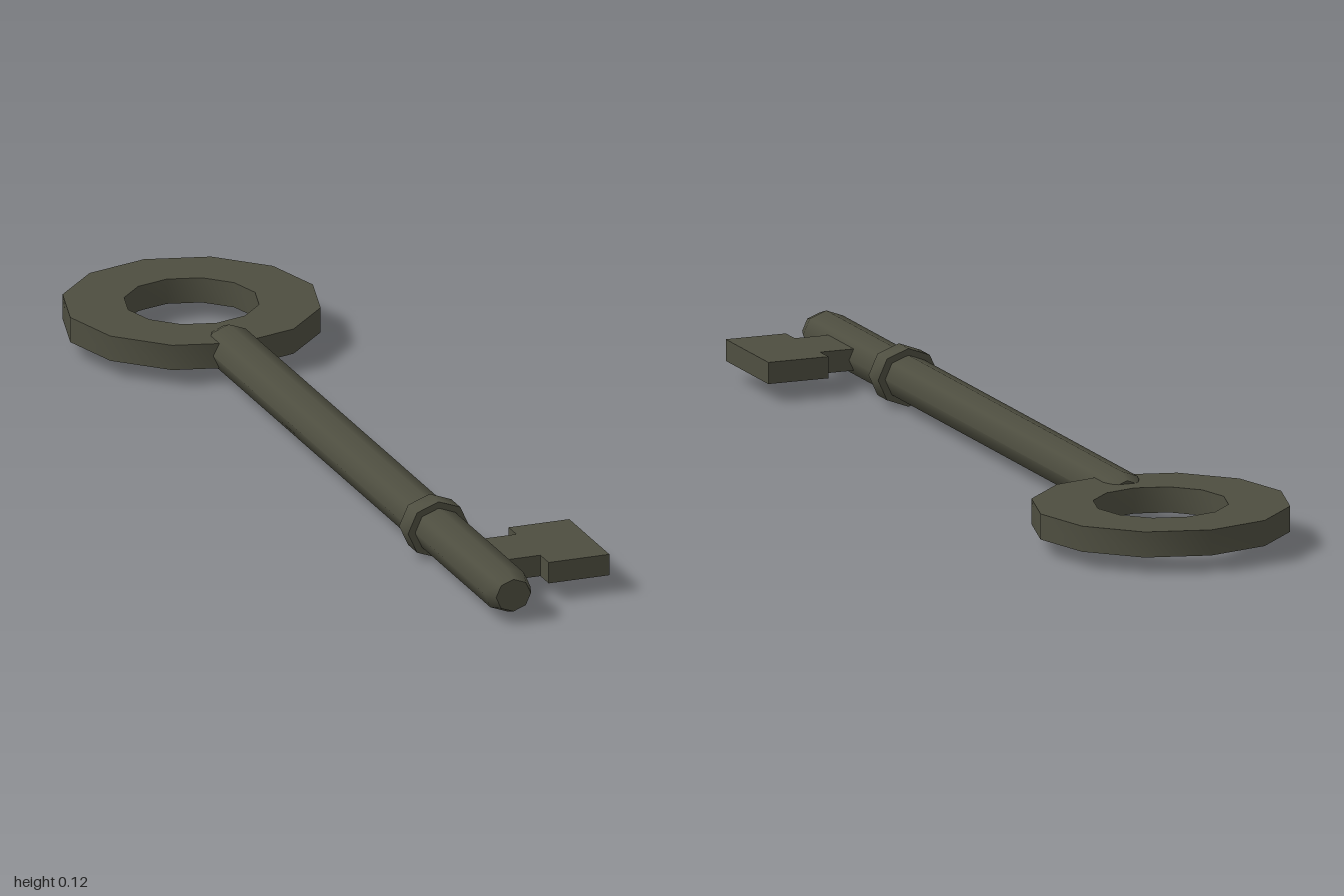
import * as THREE from 'three';
import { toCreasedNormals } from 'three/addons/utils/BufferGeometryUtils.js';

const AXIS_Y = 0.062;
const metal = new THREE.MeshStandardMaterial({ color: 0x4e4e40 });

function part(name, geometry) {
  const mesh = new THREE.Mesh(toCreasedNormals(geometry, 0.9), metal);
  mesh.name = name;
  mesh.position.y = AXIS_Y;
  return mesh;
}

// Eight-sided turning along z, slightly flattened; profile is [radius, z] pairs
function turned(profile) {
  const points = profile.map(([r, z]) => new THREE.Vector2(r, z));
  return new THREE.LatheGeometry(points, 8).rotateX(Math.PI / 2).scale(1, 0.91, 1);
}

// Flat plate lying in the xz plane; shape y becomes z
function plate(shape, thickness) {
  return new THREE.ExtrudeGeometry(shape, { depth: thickness, bevelEnabled: false })
    .translate(0, 0, -thickness / 2)
    .rotateX(Math.PI / 2);
}

function polygon(radius, sides) {
  return Array.from({ length: sides }, (_, i) => {
    const a = (i / sides) * Math.PI * 2;
    return new THREE.Vector2(Math.cos(a) * radius, Math.sin(a) * radius);
  });
}

export function createModel() {
  const key = new THREE.Group();
  key.name = 'key';

  // Shaft with chamfered ends
  key.add(part('shaft', turned([[0, -0.57], [0.036, -0.57], [0.05, -0.54], [0.05, 0.965], [0.037, 1], [0, 1]])));

  // Collar around the shaft
  key.add(part('collar', turned([[0.045, 0.546], [0.065, 0.546], [0.065, 0.595], [0.045, 0.595]])));

  // Twelve-sided ring handle
  const ring = new THREE.Shape(polygon(0.258, 12));
  ring.holes.push(new THREE.Path(polygon(0.135, 12)));
  const handle = part('ringHandle', plate(ring, 0.052));
  handle.position.z = -0.742;
  key.add(handle);

  // T-shaped bit: narrow neck, wider block
  const bit = new THREE.Shape([
    [0.02, 0.73], [0.112, 0.73], [0.112, 0.688], [0.241, 0.688],
    [0.241, 0.905], [0.112, 0.905], [0.112, 0.86], [0.02, 0.86],
  ].map(([x, z]) => new THREE.Vector2(x, z)));
  key.add(part('bit', plate(bit, 0.044)));

  return key;
}
